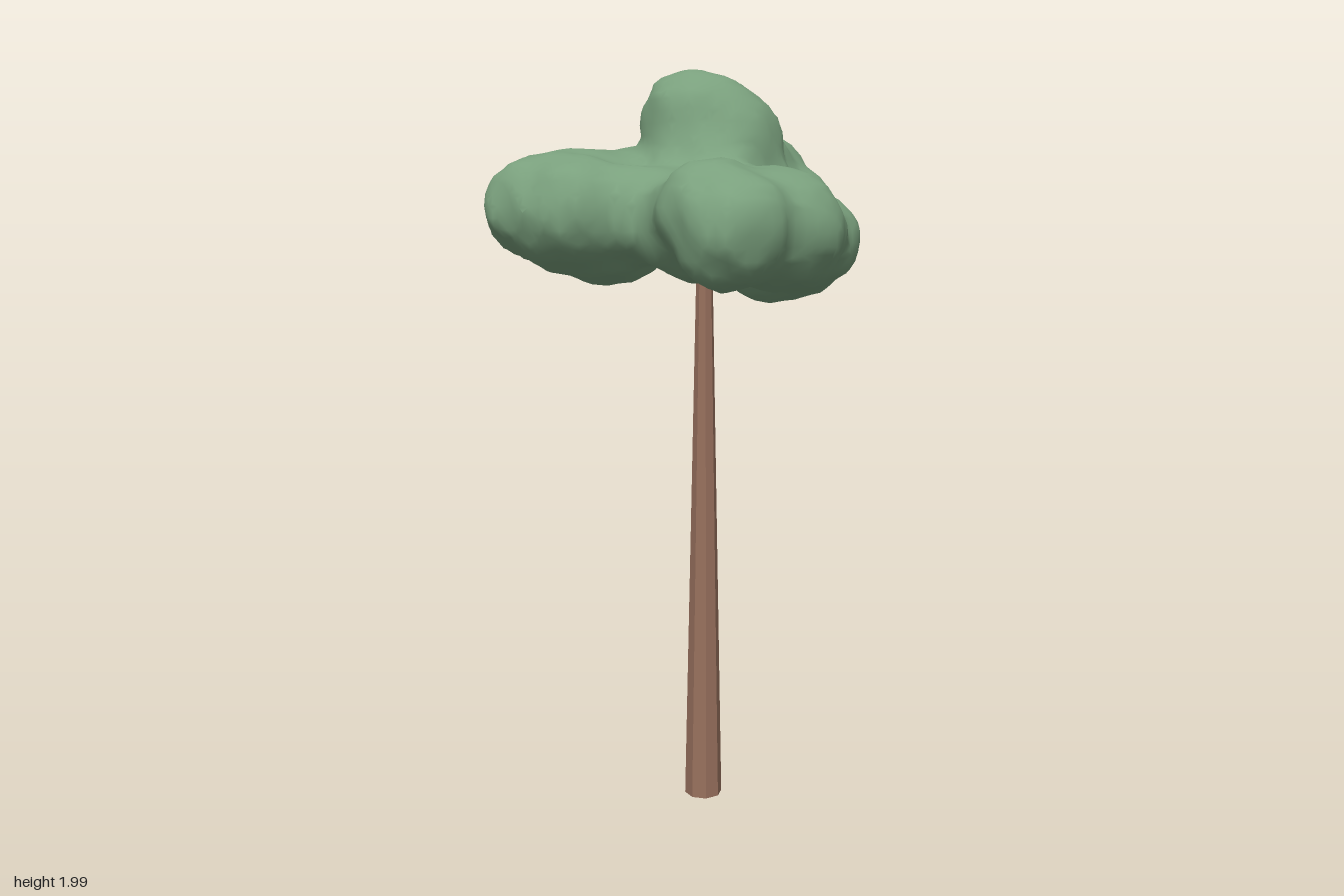
import * as THREE from 'three';

const leafMat = new THREE.MeshStandardMaterial({ color: 0x7aa07d });
leafMat.name = 'leafGreen';
const barkMat = new THREE.MeshStandardMaterial({ color: 0x966f5c });
barkMat.name = 'barkBrown';

// Leaf clumps as ellipsoids: centre x, y, z, then radii x, y, z
const lobes = [
  // front lobe
  [-0.15, 1.59, 0.40, 0.14, 0.14, 0.14], [-0.14, 1.64, 0.31, 0.14, 0.12, 0.13],
  [0.02, 1.59, 0.33, 0.17, 0.15, 0.17], [0.17, 1.56, 0.20, 0.16, 0.13, 0.17],
  [-0.11, 1.60, 0.18, 0.15, 0.14, 0.15], [0.25, 1.54, 0.11, 0.125, 0.13, 0.12],
  [0.18, 1.52, 0.06, 0.14, 0.13, 0.12], [0.00, 1.61, 0.20, 0.18, 0.14, 0.18],
  // back lobe on the -x side
  [-0.21, 1.62, -0.35, 0.14, 0.15, 0.15], [-0.365, 1.64, -0.22, 0.135, 0.13, 0.14],
  [-0.31, 1.63, -0.05, 0.14, 0.14, 0.13], [-0.21, 1.60, -0.12, 0.18, 0.16, 0.18],
  [-0.27, 1.64, -0.20, 0.18, 0.15, 0.19], [-0.06, 1.70, -0.22, 0.14, 0.10, 0.14],
  [-0.18, 1.62, 0.04, 0.14, 0.12, 0.11], [-0.35, 1.62, -0.12, 0.13, 0.13, 0.13],
  // back lobe on the +x side
  [0.17, 1.70, -0.38, 0.145, 0.16, 0.16], [0.36, 1.64, -0.28, 0.14, 0.14, 0.15],
  [0.33, 1.63, -0.08, 0.13, 0.13, 0.13], [0.31, 1.72, -0.19, 0.13, 0.12, 0.13],
  [0.29, 1.59, -0.31, 0.14, 0.13, 0.14], [0.24, 1.67, -0.26, 0.18, 0.14, 0.18],
];

// Raised middle and the shoulders that tie it to the lobes
const crest = [
  [0.02, 1.86, -0.09, 0.12, 0.135, 0.15], [0.10, 1.84, -0.07, 0.14, 0.13, 0.17],
  [0.08, 1.76, -0.05, 0.19, 0.13, 0.18], [0.12, 1.77, -0.2, 0.15, 0.11, 0.14],
  [0.22, 1.75, -0.12, 0.14, 0.10, 0.13], [-0.03, 1.68, 0.03, 0.15, 0.09, 0.13],
  [0.12, 1.66, 0.05, 0.18, 0.10, 0.09], [-0.16, 1.69, -0.2, 0.17, 0.09, 0.16],
];

function ellipsoid(x, y, z, [cx, cy, cz, rx, ry, rz]) {
  const a = (x - cx) / rx, b = (y - cy) / ry, c = (z - cz) / rz;
  const k0 = Math.hypot(a, b, c), k1 = Math.hypot(a / rx, b / ry, c / rz);
  return k1 < 1e-6 ? -Math.min(rx, ry, rz) : k0 * (k0 - 1) / k1;
}

function smoothMin(a, b, k) {
  const h = Math.max(k - Math.abs(a - b), 0) / k;
  return Math.min(a, b) - h * h * k / 4;
}

// Signed distance of the whole crown, with gentle lumps
function crownField(x, y, z) {
  let d = 1;
  for (const c of lobes) d = smoothMin(d, ellipsoid(x, y, z, c), 0.035);
  for (const c of crest) d = smoothMin(d, ellipsoid(x, y, z, c), 0.04);
  return d + 0.009 * Math.sin(27 * x + 1 + 9 * y) * Math.sin(31 * y + 7 * z) * Math.sin(25 * z + 2 - 8 * x)
    + 0.005 * Math.sin(48 * x) * Math.sin(44 * z + 20 * y);
}

// Skin a field with quads: one vertex per crossed cell
function skinField(field, min, size, step) {
  const [nx, ny, nz] = size.map(s => Math.ceil(s / step) + 1);
  const strides = [1, nx, nx * ny];
  const at = (i, j, k) => i + nx * j + nx * ny * k;
  const values = new Float32Array(nx * ny * nz);
  for (let k = 0; k < nz; k++) for (let j = 0; j < ny; j++) for (let i = 0; i < nx; i++)
    values[at(i, j, k)] = field(min[0] + i * step, min[1] + j * step, min[2] + k * step);

  const cellVertex = new Map(), positions = [], indices = [];
  for (let k = 0; k < nz - 1; k++) for (let j = 0; j < ny - 1; j++) for (let i = 0; i < nx - 1; i++) {
    const sum = [0, 0, 0];
    let count = 0;
    for (let axis = 0; axis < 3; axis++) for (let n = 0; n < 4; n++) {
      const o = [0, 0, 0];
      o[(axis + 1) % 3] = n & 1;
      o[(axis + 2) % 3] = n >> 1;
      const p = at(i + o[0], j + o[1], k + o[2]);
      const a = values[p], b = values[p + strides[axis]];
      if ((a < 0) === (b < 0)) continue;
      o[axis] = a / (a - b);
      o.forEach((v, m) => { sum[m] += v; });
      count++;
    }
    if (!count) continue;
    cellVertex.set(at(i, j, k), positions.length / 3);
    [i, j, k].forEach((v, m) => positions.push(min[m] + (v + sum[m] / count) * step));
  }
  for (let k = 1; k < nz - 1; k++) for (let j = 1; j < ny - 1; j++) for (let i = 1; i < nx - 1; i++) {
    const p = at(i, j, k);
    for (let axis = 0; axis < 3; axis++) {
      const inside = values[p] < 0;
      if (inside === (values[p + strides[axis]] < 0)) continue;
      const b = strides[(axis + 1) % 3], c = strides[(axis + 2) % 3];
      const q = [p - b - c, p - c, p, p - b].map(n => cellVertex.get(n));
      if (!inside) q.reverse();
      indices.push(q[0], q[1], q[2], q[0], q[2], q[3]);
    }
  }
  const geometry = new THREE.BufferGeometry();
  geometry.setAttribute('position', new THREE.Float32BufferAttribute(positions, 3));
  geometry.setIndex(indices);
  geometry.computeVertexNormals();
  return geometry;
}

// Faceted bark mesh
function barkMesh(name, geometry) {
  const faceted = geometry.toNonIndexed();
  faceted.computeVertexNormals();
  const mesh = new THREE.Mesh(faceted, barkMat);
  mesh.name = name;
  return mesh;
}

// Tapered branch between two points
function branch(name, from, to, r0, r1) {
  const a = new THREE.Vector3(...from), b = new THREE.Vector3(...to);
  const axis = b.clone().sub(a);
  const mesh = barkMesh(name, new THREE.CylinderGeometry(r1, r0, axis.length(), 6));
  mesh.position.copy(a).add(b).multiplyScalar(0.5);
  mesh.quaternion.setFromUnitVectors(new THREE.Vector3(0, 1, 0), axis.normalize());
  return mesh;
}

// Leaning trunk: the rings are shifted, so the base stays level
function leaningTrunk() {
  const height = 1.68;
  const g = new THREE.CylinderGeometry(0.018, 0.052, height, 8, 1);
  g.rotateY(Math.PI / 8);
  g.translate(0, height / 2, 0);
  const p = g.attributes.position;
  for (let i = 0; i < p.count; i++) {
    const t = p.getY(i) / height;
    p.setX(i, p.getX(i) + 0.029 + 0.025 * t);
    p.setZ(i, p.getZ(i) - 0.025 - 0.037 * t);
  }
  return barkMesh('trunk', g);
}

export function createModel() {
  const tree = new THREE.Group();
  tree.name = 'tree';
  tree.add(leaningTrunk());

  // Side branches reaching into the lobes
  tree.add(
    branch('frontBranch', [0.05, 1.44, -0.05], [0.09, 1.51, 0.12], 0.014, 0.01),
    branch('rightBranch', [0.05, 1.5, -0.055], [-0.14, 1.62, -0.12], 0.019, 0.013),
    branch('leftBranch', [0.053, 1.54, -0.055], [0.24, 1.64, -0.22], 0.014, 0.009),
  );

  const crown = new THREE.Mesh(
    skinField(crownField, [-0.62, 1.3, -0.66], [1.24, 0.8, 1.32], 0.03), leafMat);
  crown.name = 'crown';
  tree.add(crown);
  return tree;
}
